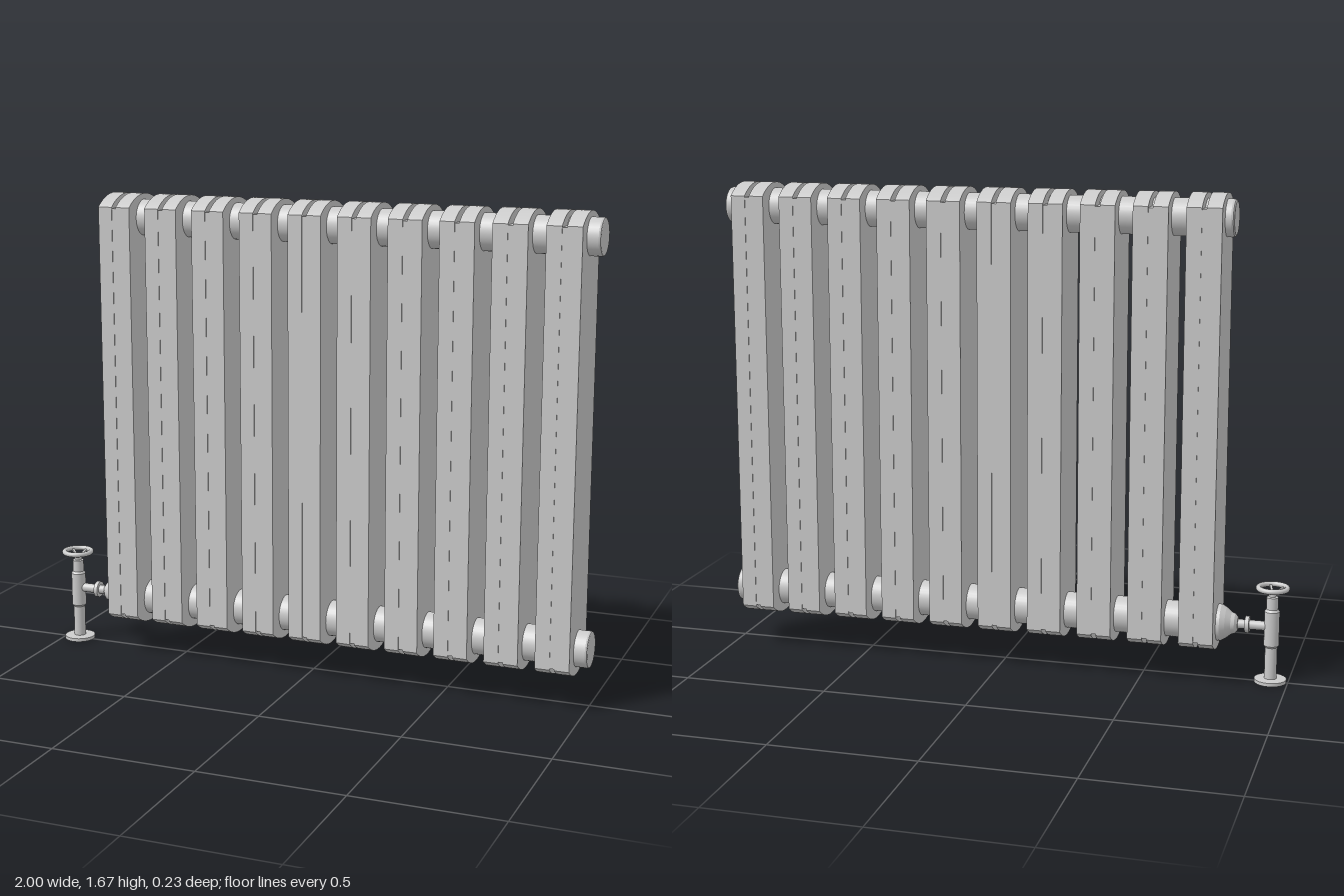
import * as THREE from 'three';

const material = new THREE.MeshStandardMaterial({ color: 0xcccccc });
const TOP_Y = 1.583, BOTTOM_Y = 0.198, VALVE_X = -0.94;
const COLUMNS = 10, FIRST_X = -0.697, LAST_X = 0.895;

function add(parent, name, geometry, x = 0, y = 0, z = 0) {
  const mesh = new THREE.Mesh(geometry, material);
  mesh.name = name;
  mesh.position.set(x, y, z);
  parent.add(mesh);
  return mesh;
}

// Turned part; repeated profile points keep the edges sharp
function lathe(profile, segments = 32) {
  const points = [];
  profile.forEach(([r, h], i) => {
    points.push(new THREE.Vector2(r, h));
    if (i > 0 && i < profile.length - 1) points.push(new THREE.Vector2(r, h));
  });
  return new THREE.LatheGeometry(points, segments);
}

// Turned part lying along x (profile heights are x positions)
function latheX(profile, segments) {
  return lathe(profile, segments).rotateZ(-Math.PI / 2);
}

// Flat plate with shallow arched top and bottom
function plateGeometry(width) {
  const half = 0.117, low = 0.15, high = 1.625, rise = 0.041;
  const radius = (half * half + rise * rise) / (2 * rise);
  const angle = Math.asin(half / radius);
  const shape = new THREE.Shape();
  shape.moveTo(-half, low);
  shape.absarc(0, low - rise + radius, radius, -Math.PI / 2 - angle, -Math.PI / 2 + angle, false);
  shape.lineTo(half, high);
  shape.absarc(0, high + rise - radius, radius, Math.PI / 2 - angle, Math.PI / 2 + angle, false);
  shape.closePath();
  return new THREE.ExtrudeGeometry(shape, { depth: width, bevelEnabled: false, curveSegments: 16 })
    .translate(0, 0, -width / 2)
    .rotateY(Math.PI / 2);
}

function createValve() {
  const valve = new THREE.Group();
  valve.name = 'valve';
  valve.position.x = VALVE_X;

  // Floor flange, riser, body and spindle
  add(valve, 'valveBody', lathe([
    [0, 0], [0.055, 0], [0.055, 0.012], [0.021, 0.014], [0.021, 0.125], [0.026, 0.132],
    [0.026, 0.252], [0.02, 0.26], [0.02, 0.302], [0.012, 0.304], [0.012, 0.318], [0, 0.318],
  ]));

  // Open handwheel with spokes rising from the hub
  const wheel = new THREE.Group();
  wheel.name = 'handwheel';
  wheel.position.y = 0.334;
  valve.add(wheel);
  add(wheel, 'wheelRim', new THREE.TorusGeometry(0.049, 0.009, 12, 40).rotateX(Math.PI / 2));
  add(wheel, 'wheelHub', new THREE.CylinderGeometry(0.014, 0.014, 0.014, 20), 0, -0.019, 0);
  const spokeGeometry = new THREE.BoxGeometry(0.04, 0.007, 0.008).translate(0.031, 0, 0);
  for (let i = 0; i < 5; i++) {
    const spoke = add(wheel, 'wheelSpoke', spokeGeometry, 0, -0.024, 0);
    spoke.rotation.set(0, i * Math.PI * 2 / 5, 0.475);
  }

  // Side pipe with union nut
  add(valve, 'connectionPipe', latheX([[0, 0], [0.016, 0], [0.016, 0.13], [0, 0.13]], 24), 0, BOTTOM_Y, 0);
  add(valve, 'unionNut', latheX([[0, 0.076], [0.029, 0.076], [0.029, 0.09], [0, 0.09]], 24), 0, BOTTOM_Y, 0);
  return valve;
}

export function createModel() {
  const model = new THREE.Group();
  model.name = 'radiator';

  // Columns, each a pair of plates joined by a web almost flush with their faces
  const plate = plateGeometry(0.051);
  const web = new THREE.BoxGeometry(0.018, 1.466, 0.23);
  for (let i = 0; i < COLUMNS; i++) {
    const column = new THREE.Group();
    column.name = 'column';
    column.position.x = FIRST_X + i * (LAST_X - FIRST_X) / (COLUMNS - 1);
    model.add(column);
    for (const side of [-1, 1]) add(column, 'plate', plate, side * 0.0335);
    add(column, 'web', web, 0, 0.8875, 0);
  }

  // Upper header with rounded ends
  add(model, 'upperHeader', latheX([
    [0, -0.786], [0.056, -0.786], [0.061, -0.782], [0.063, -0.775],
    [0.063, 0.992], [0.061, 0.998], [0.058, 1], [0, 1],
  ]), 0, TOP_Y, 0);

  // Lower header, tapering towards the valve
  add(model, 'lowerHeader', latheX([
    [0, -0.825], [0.022, -0.825], [0.034, -0.815], [0.038, -0.803], [0.053, -0.785], [0.063, -0.768],
    [0.063, 0.992], [0.061, 0.998], [0.058, 1], [0, 1],
  ]), 0, BOTTOM_Y, 0);

  model.add(createValve());
  return model;
}
